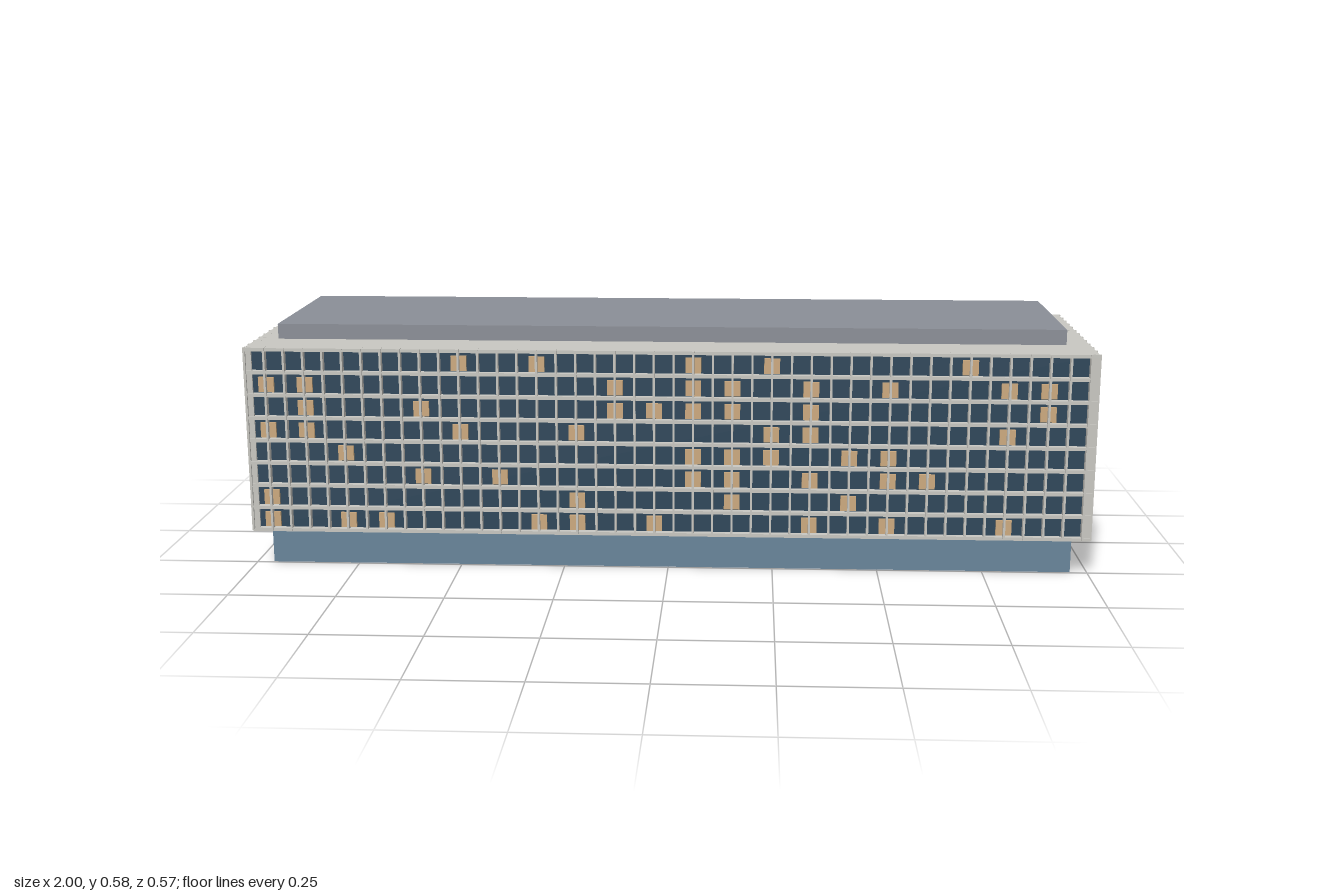
import * as THREE from 'three';

const mat = (name, color) => {
  const m = new THREE.MeshStandardMaterial({ color });
  m.name = name;
  return m;
};

export function createModel() {
  const concrete = mat('concrete', 0xc9c8c2);
  const glass = mat('dark glass', 0x2d465a);
  const lit = mat('lit window', 0xcdaa7f);
  const baseBlue = mat('base blue', 0x68859b);
  const roofGrey = mat('roof grey', 0x8b8f97);

  const model = new THREE.Group();
  model.name = 'officeBlock';

  function box(parent, name, material, w, h, d, x, y, z) {
    const mesh = new THREE.Mesh(new THREE.BoxGeometry(w, h, d), material);
    mesh.position.set(x, y, z);
    mesh.name = name;
    parent.add(mesh);
    return mesh;
  }
  function group(name) {
    const g = new THREE.Group();
    g.name = name;
    model.add(g);
    return g;
  }

  const HX = 0.998, HZ = 0.283;      // outer half sizes
  const GX = 0.982, GZ = 0.266;      // glass half sizes
  const Y0 = 0.087, Y1 = 0.535;      // office floors
  const BAY = 0.0459, FLOOR = 0.0549, FLOORS = 8;
  const X0 = -0.9955, Z0 = -6 * BAY; // first fin on each face
  const midY = (Y0 + Y1) / 2;

  // Recessed base, glass core, roof
  box(model, 'base', baseBlue, 1.92, Y0, 0.49, 0, Y0 / 2, 0);
  box(model, 'glassCore', glass, GX * 2, Y1 - Y0 - 0.012, GZ * 2, 0, midY, 0);
  box(model, 'roofPanel', roofGrey, 1.86, 0.036, 0.427, 0, 0.563, 0);

  // Floor slabs, showing as horizontal bands
  const slabs = group('floorSlabs');
  for (let i = 0; i <= FLOORS; i++) {
    box(slabs, 'floorSlab', concrete, HX * 2 - 0.004, 0.008, HZ * 2 - 0.004, 0, 0.0915 + i * FLOOR, 0);
  }

  // Vertical fins on the long and short faces
  const fins = group('facadeFins');
  const height = Y1 - Y0 - 0.002;
  for (const s of [-1, 1]) {
    for (let i = 0; i <= 43; i++) {
      box(fins, 'longFaceFin', concrete, 0.005, height, HZ - GZ + 0.002, X0 + i * BAY, midY + 0.001, s * (HZ + GZ - 0.002) / 2);
    }
    for (let i = 0; i <= 12; i++) {
      box(fins, 'shortFaceFin', concrete, HX - GX + 0.004, height, 0.005, s * (HX + GX) / 2, midY + 0.001, Z0 + i * BAY);
    }
  }

  // Lit windows: columns per floor, top floor first
  const frontLit = [
    [5, 7, 11, 13, 18],
    [0, 1, 9, 11, 12, 14, 16, 19, 20],
    [1, 4, 9, 10, 11, 12, 14, 20],
    [0, 1, 5, 8, 13, 14, 19],
    [2, 11, 12, 13, 15, 16],
    [4, 6, 11, 12, 14, 16, 17],
    [0, 8, 12, 15],
    [0, 2, 3, 7, 8, 10, 14, 16, 19],
  ];
  const backLit = [
    [3, 9, 16, 18],
    [2, 9, 10, 12, 18, 20],
    [3, 6, 10, 16, 17, 18],
    [0, 3, 8, 9, 12, 18],
    [5, 9, 10, 13, 16, 18],
    [3, 7, 10, 12, 15, 20],
    [1, 9, 12, 14, 18],
    [3, 4, 8, 10, 16, 19],
  ];
  const windows = group('litWindows');
  [[frontLit, 1], [backLit, -1]].forEach(([rows, s]) => {
    rows.forEach((cols, r) => cols.forEach((c) => {
      box(windows, 'litWindow', lit, 0.037, 0.036, 0.006, X0 + BAY + c * BAY * 2, 0.5 - r * FLOOR, s * (GZ + 0.003));
    }));
  });

  return model;
}
